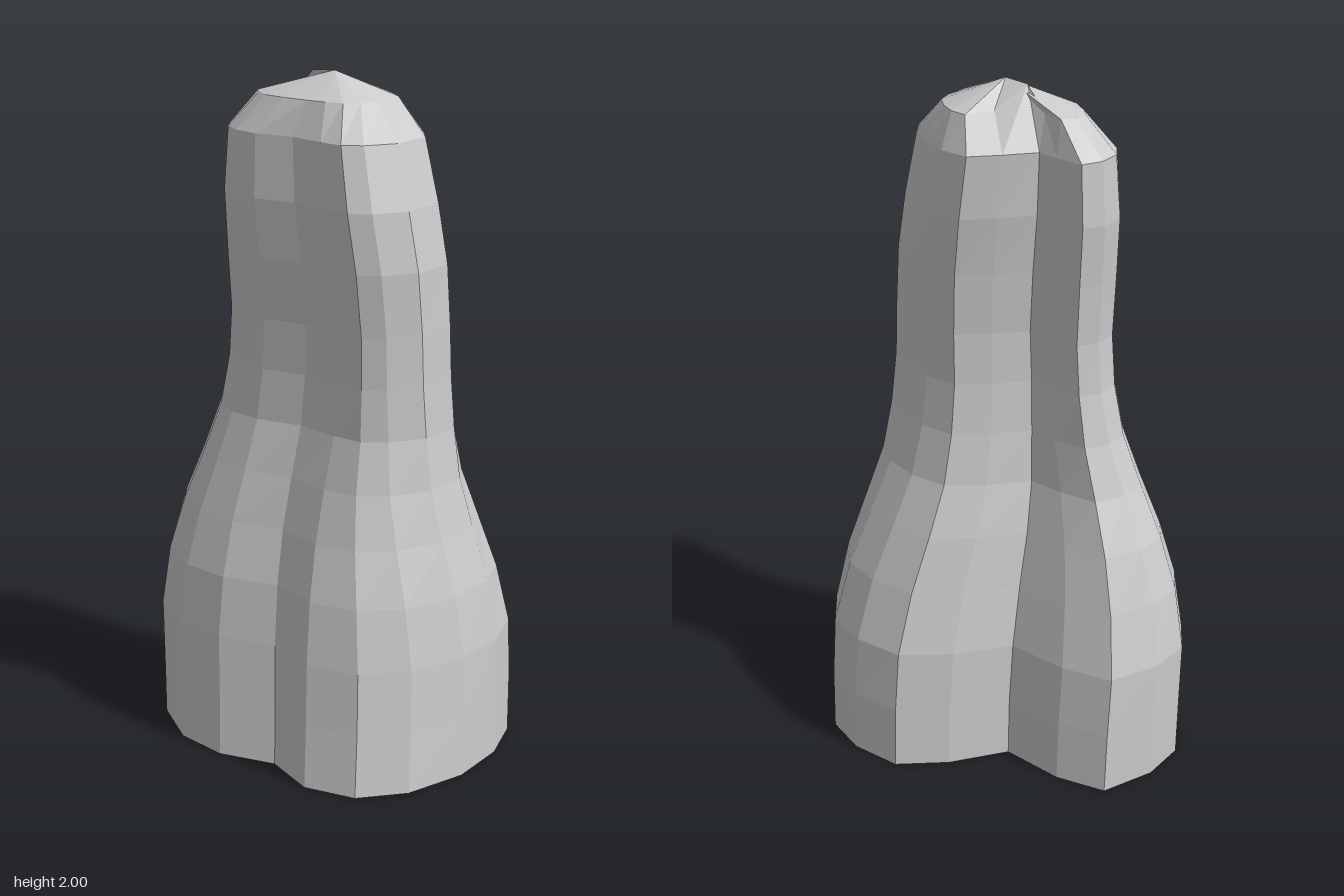
import * as THREE from 'three';

// Matching kidney-shaped outlines [x, z], running from the back notch round by +x.
const FOOT = [
  [-0.07, -0.275], [0.08, -0.385], [0.23, -0.445], [0.38, -0.39], [0.49, -0.295],
  [0.545, -0.14], [0.54, 0.03], [0.48, 0.21], [0.36, 0.365], [0.22, 0.44],
  [0.06, 0.415], [-0.07, 0.295], [-0.25, 0.275], [-0.4, 0.19], [-0.515, 0.03],
  [-0.55, -0.11], [-0.51, -0.25], [-0.405, -0.385], [-0.25, -0.36],
];
const NECK = [
  [-0.1, -0.15], [0, -0.21], [0.1, -0.26], [0.2, -0.215], [0.29, -0.13],
  [0.355, -0.04], [0.38, 0.04], [0.33, 0.19], [0.24, 0.26], [0.17, 0.275],
  [0.09, 0.23], [-0.03, 0.15], [-0.17, 0.11], [-0.26, 0.05], [-0.315, -0.03],
  [-0.335, -0.1], [-0.315, -0.18], [-0.265, -0.235], [-0.17, -0.19],
];
const CROWN = [
  [-0.055, -0.07], [0.02, -0.13], [0.08, -0.2], [0.13, -0.17], [0.17, -0.12],
  [0.2, -0.06], [0.2, 0], [0.18, 0.08], [0.14, 0.12], [0.095, 0.14],
  [0.04, 0.125], [-0.02, 0.1], [-0.1, 0.06], [-0.17, 0.015], [-0.21, -0.05],
  [-0.23, -0.1], [-0.215, -0.14], [-0.18, -0.165], [-0.12, -0.12],
];

// Each level: height, blend from foot to neck, then xMin, xMax, zMin, zMax.
const LEVELS = [
  [0, 0, -0.54, 0.545, -0.445, 0.445],
  [0.18, 0, -0.545, 0.545, -0.435, 0.42],
  [0.36, 0.05, -0.55, 0.54, -0.42, 0.4],
  [0.54, 0.2, -0.52, 0.505, -0.37, 0.37],
  [0.7, 0.45, -0.47, 0.46, -0.32, 0.325],
  [0.85, 0.7, -0.405, 0.42, -0.265, 0.285],
  [1, 0.9, -0.35, 0.4, -0.235, 0.25],
  [1.15, 1, -0.32, 0.39, -0.22, 0.245],
  [1.3, 1, -0.31, 0.385, -0.22, 0.25],
  [1.48, 1, -0.32, 0.375, -0.235, 0.27],
  [1.65, 1, -0.33, 0.345, -0.255, 0.275],
  [1.83, 1, -0.32, 0.3, -0.255, 0.24],
];

// Blend the two outlines and stretch the result to the level's extents.
function section([y, t, x0, x1, z0, z1]) {
  const pts = FOOT.map((p, i) => p.map((v, k) => THREE.MathUtils.lerp(v, NECK[i][k], t)));
  const fit = (k, lo, hi) => {
    const vals = pts.map((p) => p[k]);
    const a = Math.min(...vals), b = Math.max(...vals);
    return vals.map((v) => THREE.MathUtils.mapLinear(v, a, b, lo, hi));
  };
  const xs = fit(0, x0, x1), zs = fit(1, z0, z1);
  return xs.map((x, i) => [x, y, zs[i]]);
}

export function createModel() {
  const group = new THREE.Group();
  const n = FOOT.length;
  const rings = LEVELS.map(section);
  // The notch climbs over the crown almost to the very top.
  rings.push(CROWN.map(([x, z], i) => [x, i === 0 ? 1.995 : 1.93, z]));

  const positions = rings.flat(2);
  const index = [];
  for (let r = 0; r < rings.length - 1; r++) {
    for (let i = 0; i < n; i++) {
      const a = r * n + i, b = r * n + ((i + 1) % n);
      index.push(a, a + n, b, b, a + n, b + n);
    }
  }
  // Crown fan
  const apex = rings.length * n;
  positions.push(0.02, 2, -0.035);
  for (let i = 0; i < n; i++) {
    index.push(apex - n + i, apex, apex - n + ((i + 1) % n));
  }

  const geometry = new THREE.BufferGeometry();
  geometry.setAttribute('position', new THREE.Float32BufferAttribute(positions, 3));
  geometry.setIndex(index);
  geometry.computeVertexNormals();

  // Thin shell, open underneath
  const shell = new THREE.Mesh(geometry, new THREE.MeshStandardMaterial({
    color: 0xcccccc, flatShading: true, side: THREE.DoubleSide,
  }));
  shell.name = 'lobedShell';
  group.add(shell);
  return group;
}
